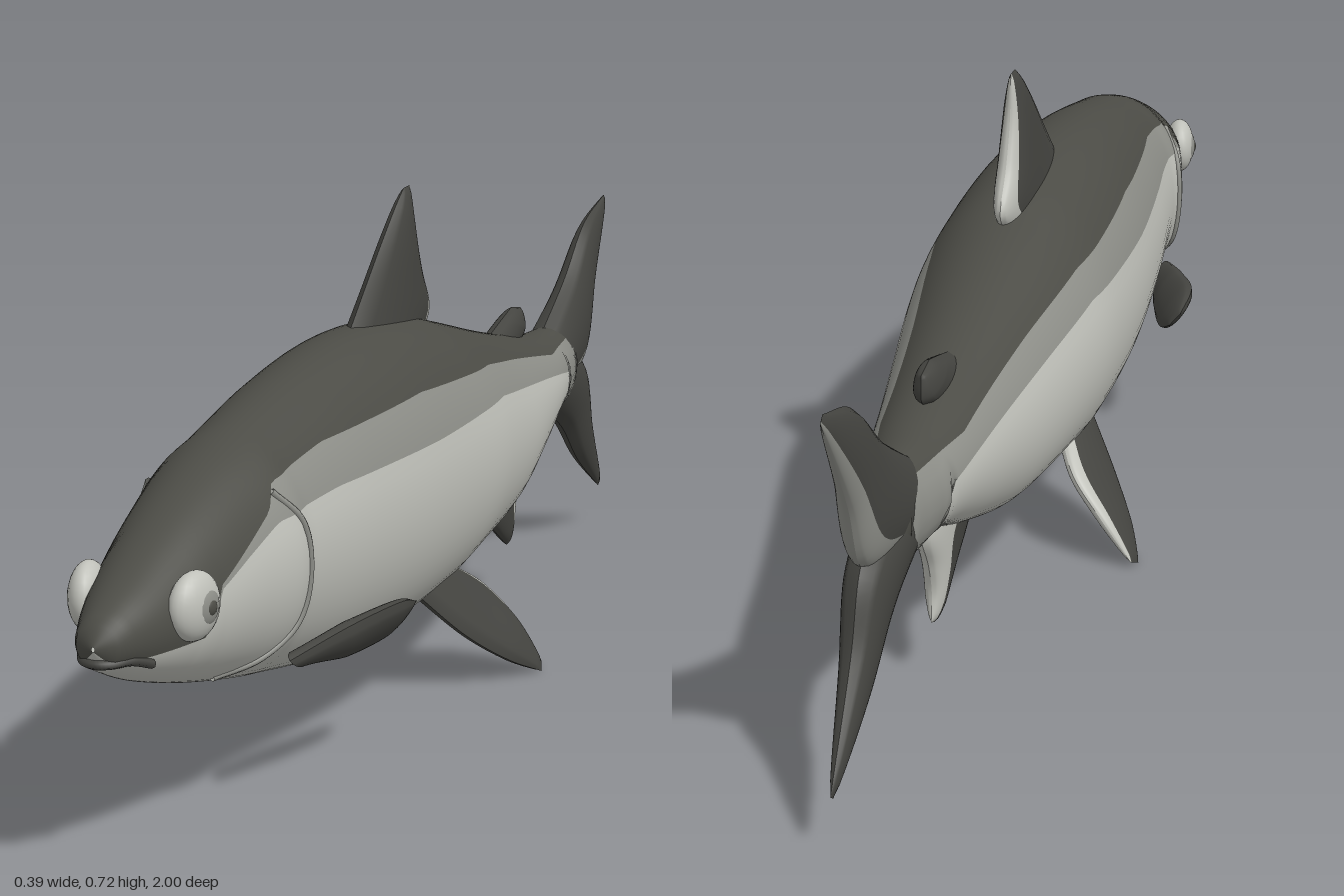
import * as THREE from 'three';

const V = (x, y, z) => new THREE.Vector3(x, y, z);

// Body stations: z, top y, bottom y, half width
const STATIONS = [
  [1, 0.309, 0.303, 0.002], [0.992, 0.33, 0.282, 0.025], [0.96, 0.35, 0.264, 0.042],
  [0.9, 0.378, 0.24, 0.064], [0.8, 0.425, 0.21, 0.088], [0.7, 0.465, 0.185, 0.107],
  [0.63, 0.487, 0.17, 0.12], [0.59, 0.497, 0.162, 0.116], [0.4, 0.532, 0.13, 0.134],
  [0.2, 0.55, 0.115, 0.148], [0, 0.537, 0.122, 0.15], [-0.1, 0.515, 0.137, 0.145],
  [-0.3, 0.465, 0.16, 0.117], [-0.45, 0.432, 0.205, 0.092], [-0.6, 0.406, 0.258, 0.067],
  [-0.7, 0.402, 0.262, 0.046], [-0.75, 0.395, 0.275, 0.034], [-0.8, 0.345, 0.325, 0.01],
];
// Lower edge of the dark back, and of the grey side band: z, y
const BACK_EDGE = [
  [1, 0.285], [0.84, 0.287], [0.81, 0.345], [0.75, 0.375], [0.68, 0.41], [0.65, 0.44],
  [0.5, 0.462], [0.2, 0.472], [-0.1, 0.455], [-0.3, 0.425], [-0.55, 0.385],
  [-0.71, 0.385], [-0.73, 0.36], [-0.74, 0.26], [-0.8, 0.2],
];
const BAND_EDGE = [
  [1, 0.285], [0.84, 0.287], [0.81, 0.34], [0.75, 0.365], [0.67, 0.395], [0.5, 0.405],
  [0.2, 0.405], [-0.1, 0.41], [-0.3, 0.385], [-0.55, 0.355], [-0.62, 0.345],
  [-0.64, 0.24], [-0.8, 0.2],
];

function segment(table, z) {
  let i = 0;
  while (i < table.length - 2 && z < table[i + 1][0]) i++;
  return [i, (z - table[i][0]) / (table[i + 1][0] - table[i][0])];
}
function linear(table, z, col = 1) {
  const [i, f] = segment(table, z);
  return THREE.MathUtils.lerp(table[i][col], table[i + 1][col], f);
}
function smooth(table, z, col) {
  const [i, f] = segment(table, z);
  const slope = (k) => {
    const a = table[Math.max(k - 1, 0)], b = table[Math.min(k + 1, table.length - 1)];
    return (b[col] - a[col]) / (b[0] - a[0]);
  };
  const a = table[i], b = table[i + 1], d = b[0] - a[0], f2 = f * f, f3 = f2 * f;
  return (2 * f3 - 3 * f2 + 1) * a[col] + (f3 - 2 * f2 + f) * d * slope(i)
    + (3 * f2 - 2 * f3) * b[col] + (f3 - f2) * d * slope(i + 1);
}
function section(z) {
  const top = smooth(STATIONS, z, 1), bottom = smooth(STATIONS, z, 2);
  return { c: (top + bottom) / 2, h: (top - bottom) / 2, w: smooth(STATIONS, z, 3) };
}
function skin(z, angle, lift = 0) {
  const s = section(z);
  return V((s.w + lift) * Math.cos(angle), s.c + (s.h + lift) * Math.sin(angle), z);
}
function angleAt(z, y) {
  const s = section(z);
  return Math.asin(THREE.MathUtils.clamp((y - s.c) / s.h, -1, 1));
}

// Smooth surface from a rule p(u, v)
function surface(nu, nv, p) {
  const pos = [], index = [];
  for (let i = 0; i <= nu; i++) {
    for (let j = 0; j <= nv; j++) {
      pos.push(...p(i / nu, j / nv).toArray());
      if (i === nu || j === nv) continue;
      const a = i * (nv + 1) + j, b = a + nv + 1;
      index.push(a, b, a + 1, b, b + 1, a + 1);
    }
  }
  const g = new THREE.BufferGeometry();
  g.setAttribute('position', new THREE.Float32BufferAttribute(pos, 3));
  g.setIndex(index);
  g.computeVertexNormals();
  return g;
}

function material(name, color) {
  const m = new THREE.MeshStandardMaterial({ color, side: THREE.DoubleSide });
  m.name = name;
  return m;
}

export function createModel() {
  const model = new THREE.Group();
  model.name = 'fish';
  const dark = material('dark back', 0x4c4c46);
  const finDark = material('dark fin', 0x444440);
  const grey = material('grey band', 0x8e8f89);
  const silver = material('silver belly', 0xc0c1ba);

  function add(name, geometry, mat, parent = model) {
    const mesh = new THREE.Mesh(geometry, mat);
    mesh.name = name;
    parent.add(mesh);
    return mesh;
  }

  // Body, split lengthwise into its colours
  const arc = (name, mat, n, range) => add(name, surface(150, n, (u, v) => {
    const z = 1 - 1.8 * u;
    const upper = angleAt(z, linear(BACK_EDGE, z));
    const lower = Math.min(upper, angleAt(z, linear(BAND_EDGE, z)));
    const [a, b] = range(upper, lower);
    return skin(z, a + (b - a) * v);
  }), mat);
  arc('back', dark, 28, (t) => [t, Math.PI - t]);
  arc('leftSideBand', grey, 8, (t, b) => [b, t]);
  arc('rightSideBand', grey, 8, (t, b) => [Math.PI - t, Math.PI - b]);
  arc('belly', silver, 36, (t, b) => [Math.PI - b, Math.PI * 2 + b]);

  // Lens-shaped fin: rows of [leading point, trailing point, half thickness]
  function fin(name, rows, normal, edge = 1, edgeMat = silver) {
    const group = new THREE.Group();
    group.name = name;
    model.add(group);
    const lead = new THREE.CatmullRomCurve3(rows.map((r) => r[0]));
    const trail = new THREE.CatmullRomCurve3(rows.map((r) => r[1]));
    const along = rows[rows.length - 1][0].clone().sub(rows[0][0]);
    const across = rows[1][1].clone().sub(rows[1][0]);
    const n = normal.clone().normalize();
    if (along.cross(across).dot(n) < 0) n.negate();
    const thick = rows.map((r, i) => [-i, r[2]]);
    const face = (side, from, to) => surface(24, 14, (u, v) => {
      const w = side > 0 ? from + (to - from) * v : to + (from - to) * v;
      const t = linear(thick, -u * (rows.length - 1)) * Math.sqrt(1 - u ** 6);
      return lead.getPoint(u).lerp(trail.getPoint(u), w)
        .addScaledVector(n, side * t * 2 * Math.sqrt(Math.max(0, w * (1 - w))));
    });
    for (const side of [1, -1]) {
      add('finWeb', face(side, 0, edge), finDark, group);
      if (edge < 1) add('finEdge', face(side, edge, 1), edgeMat, group);
    }
  }
  // Upright fin rows: lead z, lead y, trail z, trail y, half thickness
  const upright = (name, rows, edge, mat) => fin(name,
    rows.map(([a, b, c, d, t]) => [V(0, b, a), V(0, d, c), t]), V(1, 0, 0), edge, mat);

  upright('dorsalFin', [
    [0.21, 0.52, -0.07, 0.49, 0.03], [0.13, 0.59, -0.12, 0.53, 0.026],
    [0.05, 0.658, -0.085, 0.59, 0.021], [0, 0.698, -0.062, 0.65, 0.016],
    [-0.03, 0.719, -0.055, 0.72, 0.01]], 0.86);
  upright('adiposeFin', [
    [-0.38, 0.43, -0.51, 0.4, 0.022], [-0.46, 0.452, -0.552, 0.422, 0.02],
    [-0.51, 0.465, -0.553, 0.458, 0.014]]);
  upright('analFin', [
    [-0.29, 0.2, -0.52, 0.28, 0.025], [-0.35, 0.155, -0.562, 0.24, 0.021],
    [-0.42, 0.125, -0.525, 0.175, 0.018], [-0.47, 0.095, -0.51, 0.13, 0.015],
    [-0.495, 0.08, -0.515, 0.088, 0.01]], 0.55);
  upright('upperTailLobe', [
    [-0.66, 0.395, -0.72, 0.29, 0.04], [-0.78, 0.468, -0.845, 0.32, 0.032],
    [-0.88, 0.545, -0.895, 0.42, 0.022], [-0.99, 0.58, -1, 0.572, 0.01]], 0.76, grey);
  upright('lowerTailLobe', [
    [-0.66, 0.27, -0.72, 0.37, 0.04], [-0.77, 0.22, -0.845, 0.32, 0.032],
    [-0.86, 0.145, -0.895, 0.22, 0.022], [-0.98, 0.072, -0.993, 0.08, 0.01]]);

  for (const s of [1, -1]) {
    const side = s > 0 ? 'left' : 'right';
    const P = (x, y, z) => V(s * x, y, z);

    // Paired fins
    fin(side + 'PectoralFin', [
      [P(0.1, 0.205, 0.64), P(0.09, 0.19, 0.57), 0.012],
      [P(0.142, 0.228, 0.53), P(0.105, 0.175, 0.49), 0.018],
      [P(0.175, 0.238, 0.43), P(0.13, 0.18, 0.41), 0.015],
      [P(0.17, 0.222, 0.365), P(0.152, 0.2, 0.367), 0.008]], P(-0.6, 0.8, 0));
    fin(side + 'PelvicFin', [
      [P(0.07, 0.165, 0.12), P(0.07, 0.165, -0.03), 0.02],
      [P(0.128, 0.085, 0.05), P(0.1, 0.128, -0.085), 0.019],
      [P(0.17, 0.034, -0.02), P(0.145, 0.075, -0.106), 0.016],
      [P(0.197, 0.003, -0.085), P(0.19, 0.012, -0.107), 0.01]], P(0.78, 0.62, 0), 0.88);

    // Eye with iris and pupil
    const disc = (name, mat, x, r, depth) => {
      const m = add(name, new THREE.SphereGeometry(1, 24, 16), mat);
      m.scale.set(depth, r, r);
      m.position.set(s * x, 0.333, 0.867);
      m.rotation.y = s * -0.2;
    };
    disc(side + 'Eye', silver, 0.071, 0.044, 0.024);
    disc(side + 'Iris', grey, 0.087, 0.024, 0.01);
    disc(side + 'Pupil', dark, 0.093, 0.011, 0.006);

    // Gill cover rim
    const rim = [[0.66, 0.75], [0.622, 0.35], [0.612, -0.1], [0.625, -0.5], [0.67, -0.85], [0.74, -1.2]]
      .map(([z, a]) => skin(z, s > 0 ? a : Math.PI - a));
    add(side + 'GillRim', new THREE.TubeGeometry(new THREE.CatmullRomCurve3(rim), 40, 0.005, 6), grey);
  }

  // Mouth line around the snout
  const lip = [];
  for (const [z, x] of [[0.935, 1], [0.965, 1], [0.988, 1], [0.996, 0], [0.988, -1], [0.965, -1], [0.935, -1]]) {
    const p = skin(z, angleAt(z, 0.284));
    lip.push(V(p.x * x, z < 0.95 ? 0.276 : 0.286, z));
  }
  add('mouth', new THREE.TubeGeometry(new THREE.CatmullRomCurve3(lip), 40, 0.006, 6), finDark);

  return model;
}
